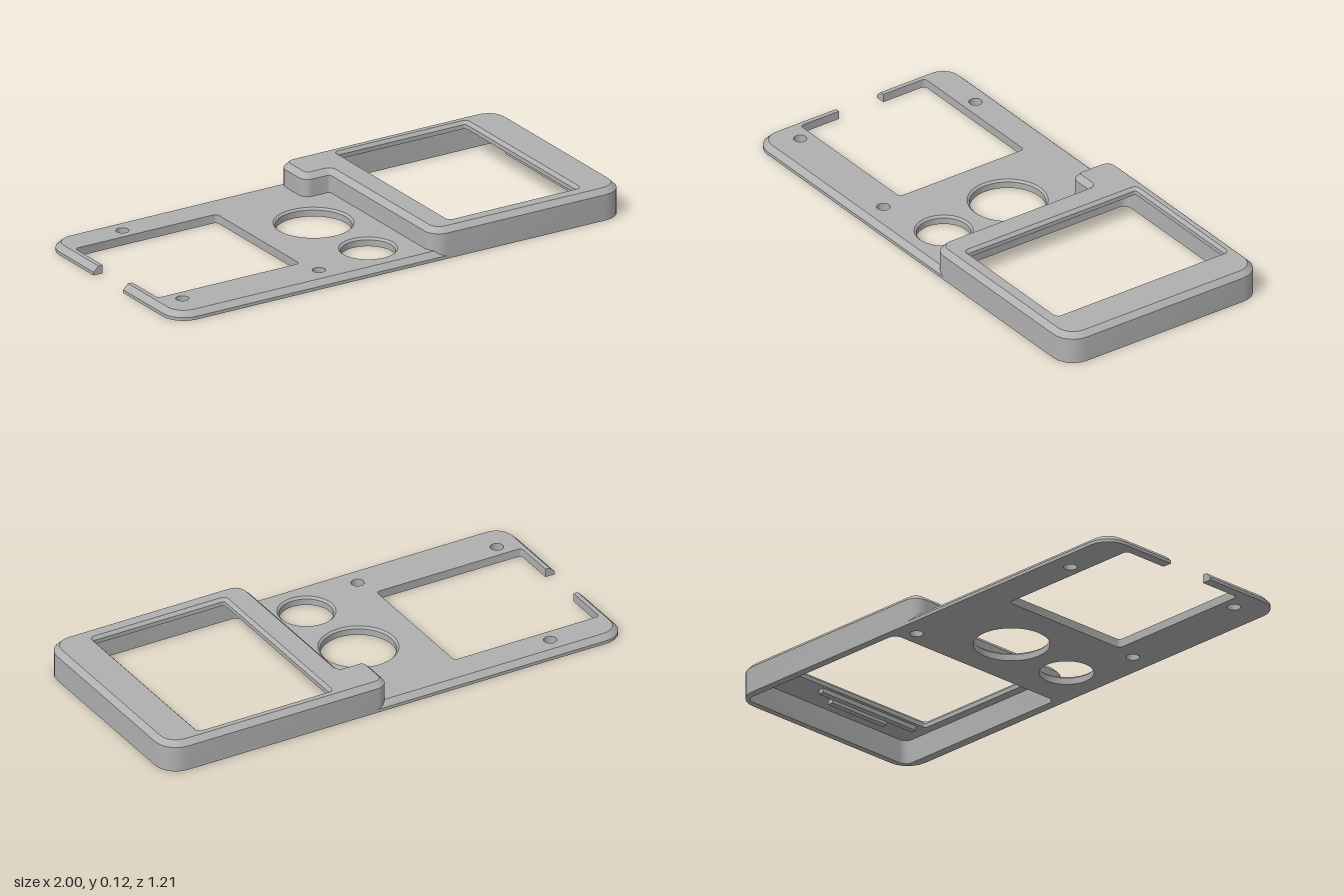
import * as THREE from 'three';
import { mergeGeometries, toCreasedNormals } from 'three/addons/utils/BufferGeometryUtils.js';

// Right-angled polygon with rounded corners; each corner is [x, z, radius]
function rounded(corners, steps = 6) {
  const pts = [];
  corners.forEach(([x, z, r = 0], i) => {
    const p = new THREE.Vector2(x, z);
    if (!r) { pts.push(p); return; }
    const dirTo = (j) => {
      const c = corners[(j + corners.length) % corners.length];
      return new THREE.Vector2(c[0], c[1]).sub(p).normalize();
    };
    const a = dirTo(i - 1), b = dirTo(i + 1);
    const centre = p.clone().addScaledVector(a, r).addScaledVector(b, r);
    for (let k = 0; k <= steps; k++) {
      const t = (k / steps) * Math.PI / 2;
      pts.push(centre.clone().addScaledVector(b, -r * Math.cos(t)).addScaledVector(a, -r * Math.sin(t)));
    }
  });
  return pts;
}

const rect = (x0, x1, z0, z1, r) => rounded([[x0, z0, r], [x1, z0, r], [x1, z1, r], [x0, z1, r]]);

function circle(x, z, r, n = 40) {
  return Array.from({ length: n }, (_, i) => {
    const t = (i / n) * Math.PI * 2;
    return new THREE.Vector2(x + r * Math.cos(t), z + r * Math.sin(t));
  });
}

// Wall through stacked loops [points, height]; inward walls line a hole
function wall(levels, inward = false) {
  const pos = [];
  for (let k = 0; k + 1 < levels.length; k++) {
    const [lo, y0] = levels[k], [hi, y1] = levels[k + 1];
    for (let i = 0; i < lo.length; i++) {
      const j = (i + 1) % lo.length;
      const a = [lo[i].x, y0, lo[i].y], b = [hi[i].x, y1, hi[i].y];
      const c = [lo[j].x, y0, lo[j].y], d = [hi[j].x, y1, hi[j].y];
      pos.push(...(inward ? [a, c, b, c, d, b] : [a, b, c, c, b, d]).flat());
    }
  }
  const g = new THREE.BufferGeometry();
  g.setAttribute('position', new THREE.Float32BufferAttribute(pos, 3));
  return g;
}

// Flat face with holes, facing up or down
function cap(outline, holes, y, up) {
  const shape = new THREE.Shape(outline);
  shape.holes = holes.map((h) => new THREE.Path(h));
  const g = new THREE.ShapeGeometry(shape).rotateX(Math.PI / 2).translate(0, y, 0);
  if (up) {
    const idx = g.index;
    for (let i = 0; i < idx.count; i += 3) {
      const t = idx.getX(i);
      idx.setX(i, idx.getX(i + 1));
      idx.setX(i + 1, t);
    }
  }
  const flat = g.toNonIndexed();
  flat.deleteAttribute('uv');
  flat.deleteAttribute('normal');
  return flat;
}

function part(name, pieces, material) {
  const g = mergeGeometries(pieces);
  g.computeVertexNormals();
  const mesh = new THREE.Mesh(toCreasedNormals(g, 0.5), material);
  mesh.name = name;
  return mesh;
}

const L = 0.944, W = 0.427, R = 0.085;      // half length, half width, corner radius
const PLATE = 0.032, TOP = 0.118, CEIL = 0.09;

// Plate outline with the large window, open through a gap in the end rail
const plateOutline = (d) => rounded([
  [-L + d, -W + d, R - d], [L - d, -W + d, R - d], [L - d, W - d, R - d], [-L + d, W - d, R - d],
  [-L + d, 0.079], [-0.907, 0.079], [-0.907, 0.248, 0.015], [-0.311, 0.248, 0.015],
  [-0.311, -0.297, 0.015], [-0.907, -0.297, 0.015], [-0.907, -0.115], [-L + d, -0.115],
]);

// Raised frame outline with the corner tab
const frameOutline = (d) => rounded([
  [0.03 + d, -W + d, 0.05 - d], [L - d, -W + d, R - d], [L - d, W - d, R - d],
  [0.137 + d, W - d, 0.06 - d], [0.137 + d, -0.255 - d, 0.01 + d], [0.03 + d, -0.255 - d, 0.035 - d],
]);

export function createModel() {
  const grey = new THREE.MeshStandardMaterial({ color: 0xb0b0b0 });
  grey.name = 'grey';
  const model = new THREE.Group();
  model.name = 'facePlate';

  // Base plate: chamfered edge, two round openings, screw holes
  const cavity = rect(0.165, 0.92, -0.397, 0.392, 0.03);
  const rounds = [[-0.065, -0.046, 0.136], [-0.031, 0.259, 0.097]];
  const screws = [[-0.674, -0.349], [-0.837, 0.3], [-0.287, 0.337], [0.106, -0.349]]
    .map(([x, z]) => circle(x, z, 0.024, 20));
  const roundsAt = (extra) => rounds.map(([x, z, r]) => circle(x, z, r + extra));
  const wide = roundsAt(0.008);
  model.add(part('basePlate', [
    cap(plateOutline(0), [cavity, ...screws, ...roundsAt(0)], 0, false),
    wall([[plateOutline(0), 0], [plateOutline(0), 0.012], [plateOutline(0.02), PLATE]]),
    cap(plateOutline(0.02), [cavity, ...screws, ...wide], PLATE, true),
    ...screws.map((s) => wall([[s, 0], [s, PLATE]], true)),
    ...roundsAt(0).map((c, i) => wall([[c, 0], [c, 0.024], [wide[i], PLATE]], true)),
    cap(screws[3], [], PLATE, false),
  ], grey));

  // Raised frame: chamfered outside, hollow underneath, window through the top
  const opening = rect(0.248, 0.786, -0.378, 0.358, 0.01);
  const openingTop = rect(0.237, 0.797, -0.388, 0.368, 0.02);
  model.add(part('raisedFrame', [
    wall([[frameOutline(0), 0.005], [frameOutline(0), 0.098], [frameOutline(0.02), TOP]]),
    cap(frameOutline(0.02), [openingTop], TOP, true),
    wall([[opening, CEIL], [opening, 0.106], [openingTop, TOP]], true),
    cap(cavity, [opening], CEIL, false),
    wall([[cavity, 0], [cavity, CEIL]], true),
  ], grey));

  // Small ribs hanging under the frame rails
  for (const [x, z, length] of [[0.81, 0.095, 0.46], [0.85, 0.085, 0.27], [0.205, 0.067, 0.36]]) {
    const rib = new THREE.Mesh(new THREE.BoxGeometry(0.022, 0.018, length), grey);
    rib.name = 'rib';
    rib.position.set(x, CEIL - 0.008, z);
    model.add(rib);
  }

  model.rotation.y = -THREE.MathUtils.degToRad(12.5);
  const root = new THREE.Group();
  root.add(model);
  return root;
}
